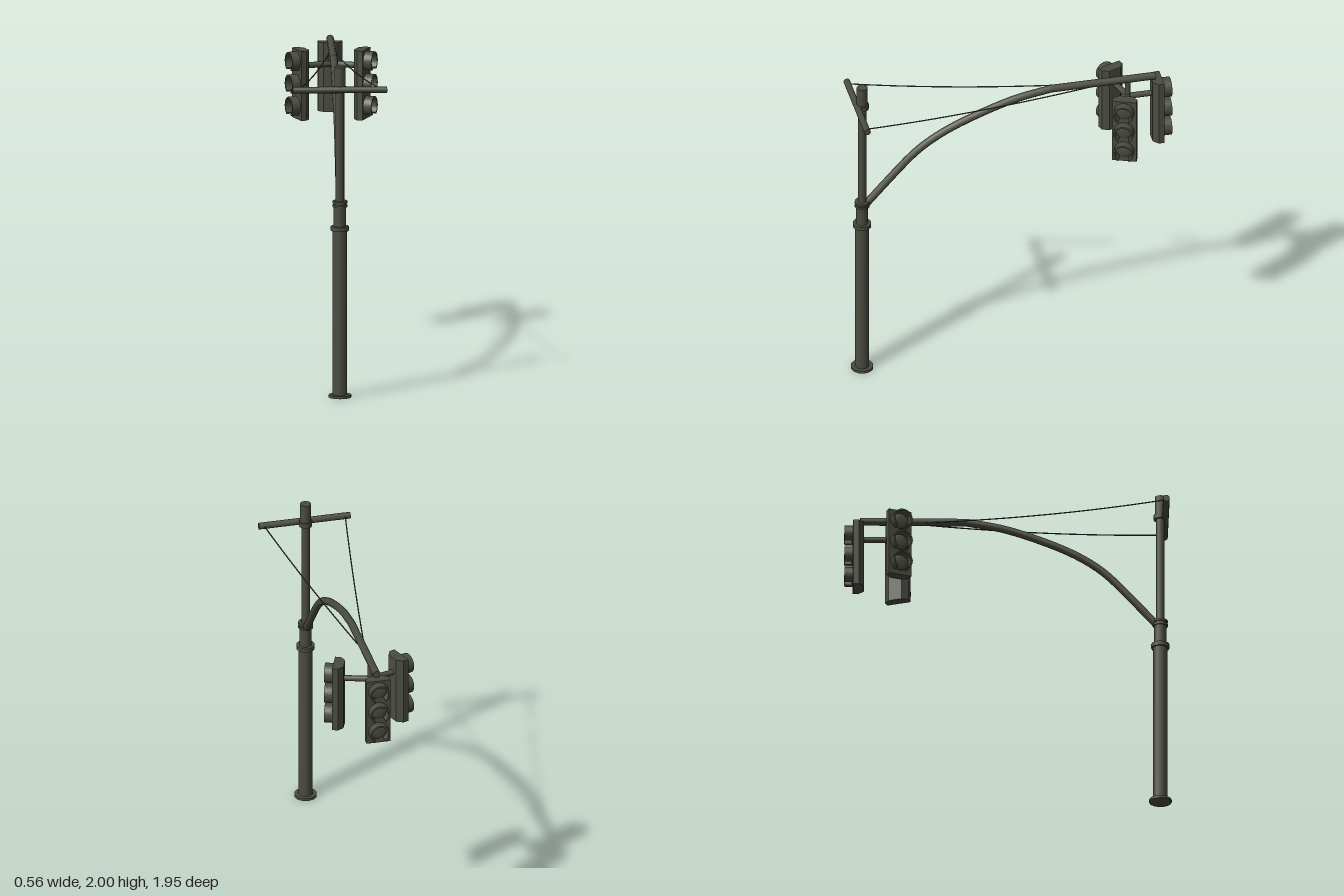
import * as THREE from 'three';

const metal = new THREE.MeshStandardMaterial({ color: 0x4b4c40 });
metal.name = 'dark olive metal';
const POLE_Z = 0.905;

function add(parent, name, geometry) {
  const mesh = new THREE.Mesh(geometry, metal);
  mesh.name = name;
  parent.add(mesh);
  return mesh;
}

// Upright cylinder between two heights
function upright(parent, name, r, y0, y1, z = POLE_Z, sides = 12) {
  const m = add(parent, name, new THREE.CylinderGeometry(r, r, y1 - y0, sides));
  m.position.set(0, (y0 + y1) / 2, z);
  return m;
}

// Straight rod between two points
function rod(parent, name, a, b, r) {
  const p = new THREE.Vector3(...a), q = new THREE.Vector3(...b);
  const dir = q.clone().sub(p);
  const m = add(parent, name, new THREE.CylinderGeometry(r, r, dir.length(), 12));
  m.position.copy(p).add(q).multiplyScalar(0.5);
  m.quaternion.setFromUnitVectors(new THREE.Vector3(0, 1, 0), dir.normalize());
  return m;
}

// Horseshoe hood, open at the bottom
function visorGeometry() {
  const gap = 0.6, start = -Math.PI / 2 + gap, end = Math.PI * 1.5 - gap;
  const shape = new THREE.Shape();
  shape.absarc(0, 0, 0.06, start, end, false);
  shape.absarc(0, 0, 0.05, end, start, true);
  return new THREE.ExtrudeGeometry(shape, { depth: 0.052, bevelEnabled: false, curveSegments: 20 });
}

// Signal head with its back at the origin, facing local +z
function signalHead(name) {
  const head = new THREE.Group();
  head.name = name;
  const plan = [[-0.04, 0], [0.04, 0], [0.073, -0.03], [0.073, -0.065], [-0.073, -0.065], [-0.073, -0.03]];
  const shape = new THREE.Shape(plan.map(([x, y]) => new THREE.Vector2(x, y)));
  const housing = new THREE.ExtrudeGeometry(shape, { depth: 0.42, bevelEnabled: false });
  housing.rotateX(-Math.PI / 2);
  add(head, 'housing', housing).position.y = 1.383;
  const visor = visorGeometry();
  const lens = new THREE.SphereGeometry(0.05, 16, 5, 0, Math.PI * 2, 0, Math.PI / 2);
  lens.rotateX(Math.PI / 2).scale(1, 1, 0.25);
  for (const y of [1.46, 1.595, 1.732]) {
    add(head, 'visor', visor).position.set(0, y, 0.064);
    add(head, 'lens', lens).position.set(0, y, 0.065);
  }
  return head;
}

export function createModel() {
  const model = new THREE.Group();
  model.name = 'trafficSignalPole';

  // Pole, from the ground up
  const pole = new THREE.Group();
  pole.name = 'pole';
  model.add(pole);
  upright(pole, 'baseFlange', 0.068, 0, 0.016);
  upright(pole, 'lowerPole', 0.043, 0.016, 1.015);
  upright(pole, 'lowerCollar', 0.055, 1.01, 1.036);
  upright(pole, 'neck', 0.037, 1.036, 1.185);
  upright(pole, 'armRing', 0.045, 1.153, 1.167);
  upright(pole, 'armRing', 0.045, 1.177, 1.19);
  upright(pole, 'upperPole', 0.026, 1.185, 1.86);
  upright(pole, 'topClamp', 0.041, 1.852, 1.882);
  upright(pole, 'topPost', 0.033, 1.86, 2);

  // Crossbar that holds the stays
  rod(model, 'crossbar', [-0.28, 1.867, 0.935], [0.28, 1.867, 0.935], 0.02);

  // Curved mast arm
  const armPoints = [[0.9, 1.145], [0.69, 1.38], [0.6, 1.474], [0.528, 1.535], [0.416, 1.607],
    [0.263, 1.68], [-0.02, 1.78], [-0.247, 1.823]].map(([z, y]) => new THREE.Vector3(0, y, z));
  const armPath = new THREE.CatmullRomCurve3(armPoints);
  add(model, 'curvedArm', new THREE.TubeGeometry(armPath, 28, 0.023, 12));
  rod(model, 'armEnd', [0, 1.823, -0.24], [0, 1.823, -0.88], 0.023);

  // Sagging stay cables
  for (const s of [-1, 1]) {
    const stay = new THREE.QuadraticBezierCurve3(
      new THREE.Vector3(s * 0.247, 1.868, 0.92),
      new THREE.Vector3(s * 0.133, 1.8, 0.25),
      new THREE.Vector3(s * 0.018, 1.812, -0.485));
    add(model, s > 0 ? 'leftStay' : 'rightStay', new THREE.TubeGeometry(stay, 20, 0.004, 6));
  }

  // Hanger and brackets for the signal heads
  upright(model, 'hanger', 0.016, 1.69, 1.82, -0.715);
  rod(model, 'rearBracket', [0, 1.703, -0.715], [0, 1.703, -0.865], 0.018);
  const rear = signalHead('rearSignal');
  rear.position.z = -0.858;
  rear.rotation.y = Math.PI;
  model.add(rear);
  for (const s of [-1, 1]) {
    rod(model, 'sideBracket', [0, 1.703, -0.715], [s * 0.155, 1.703, -0.667], 0.018);
    const side = signalHead(s > 0 ? 'leftSignal' : 'rightSignal');
    side.position.set(s * 0.147, 0, -0.67);
    side.rotation.y = s * 1.205;
    model.add(side);
  }
  return model;
}
